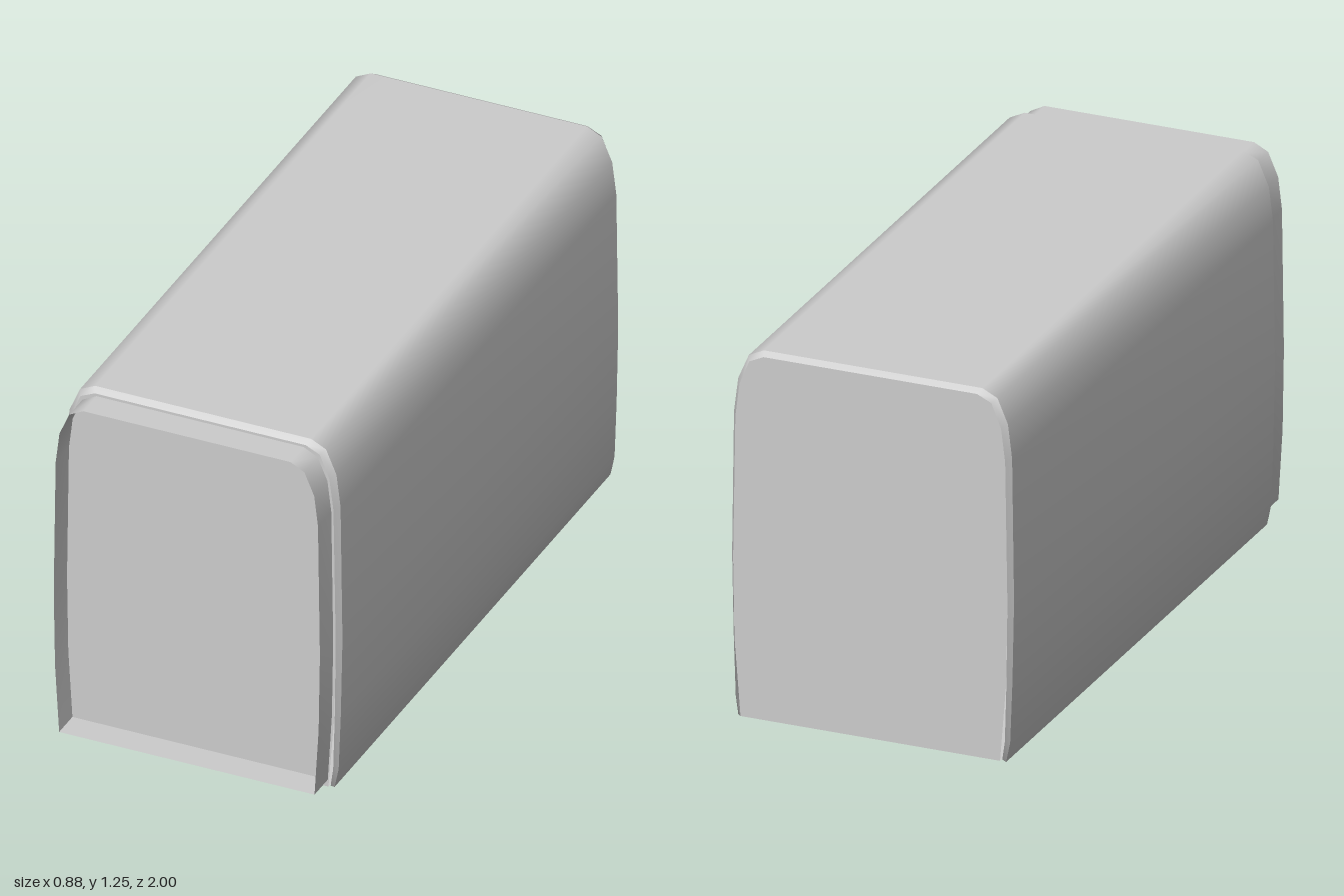
import * as THREE from 'three';

const grey = new THREE.MeshStandardMaterial({ color: 0xcccccc, side: THREE.DoubleSide });
grey.name = 'light grey';

// Right half of a cross-section mirrored into a full arch, running from +x over the top to -x
const arch = half => [...half, ...half.map(([x, y]) => [-x, y]).reverse()];

const outer = arch([[0.415, 0.097], [0.428, 0.16], [0.435, 0.35], [0.44, 0.6], [0.434, 1.045],
  [0.421, 1.15], [0.388, 1.227], [0.341, 1.25]]);
const lip = arch([[0.412, 0.112], [0.42, 0.17], [0.425, 0.35], [0.428, 0.6], [0.421, 1.04],
  [0.408, 1.143], [0.378, 1.217], [0.333, 1.238]]);
const panel = arch([[0.405, 0.107], [0.424, 0.35], [0.428, 0.6], [0.421, 1.04],
  [0.408, 1.143], [0.378, 1.217], [0.333, 1.238]]);
const collar = arch([[0.403, 0.13], [0.416, 0.35], [0.42, 0.6], [0.414, 1.035],
  [0.402, 1.135], [0.371, 1.207], [0.327, 1.23]]);

// Smooth skin between a front section and a back section
function band(front, zFront, back, zBack) {
  const n = front.length, pos = [], index = [];
  front.forEach(([x, y]) => pos.push(x, y, zFront));
  back.forEach(([x, y]) => pos.push(x, y, zBack));
  for (let i = 0; i < n - 1; i++) index.push(i, n + i, i + 1, n + i, n + i + 1, i + 1);
  const g = new THREE.BufferGeometry();
  g.setAttribute('position', new THREE.Float32BufferAttribute(pos, 3));
  g.setIndex(index);
  g.computeVertexNormals();
  return g;
}

export function createModel() {
  const group = new THREE.Group();
  const add = (name, geometry, x = 0, y = 0, z = 0) => {
    const m = new THREE.Mesh(geometry, grey);
    m.name = name;
    m.position.set(x, y, z);
    group.add(m);
    return m;
  };

  // Body skin with bevelled rims
  add('bodyShell', band(outer, 0.89, outer, -0.98));
  add('frontRim', band(lip, 0.91, outer, 0.89));
  add('backRim', band(outer, -0.98, lip, -1));

  // End walls and floor
  const wall = new THREE.ShapeGeometry(new THREE.Shape(panel.map(p => new THREE.Vector2(...p))));
  add('frontWall', wall, 0, 0, 0.91);
  add('backWall', wall.clone().rotateY(Math.PI), 0, 0, -1);
  add('floor', new THREE.PlaneGeometry(0.81, 1.91).rotateX(Math.PI / 2), 0, 0.107, -0.045);

  // Open connecting collar at the front
  add('collar', band(collar, 1, collar, 0.91));
  add('collarSill', new THREE.PlaneGeometry(0.806, 0.09).rotateX(Math.PI / 2), 0, 0.13, 0.955);

  // Underside rails and half-hidden wheels
  for (const s of [1, -1]) {
    add('rail', new THREE.BoxGeometry(0.075, 0.016, 0.86), s * 0.2975, 0.1, -0.04);
    for (const z of [0.29, -0.37])
      add('wheel', new THREE.CylinderGeometry(0.1, 0.1, 0.035, 8).rotateZ(Math.PI / 2), s * 0.2775, 0.1, z);
  }
  return group;
}
